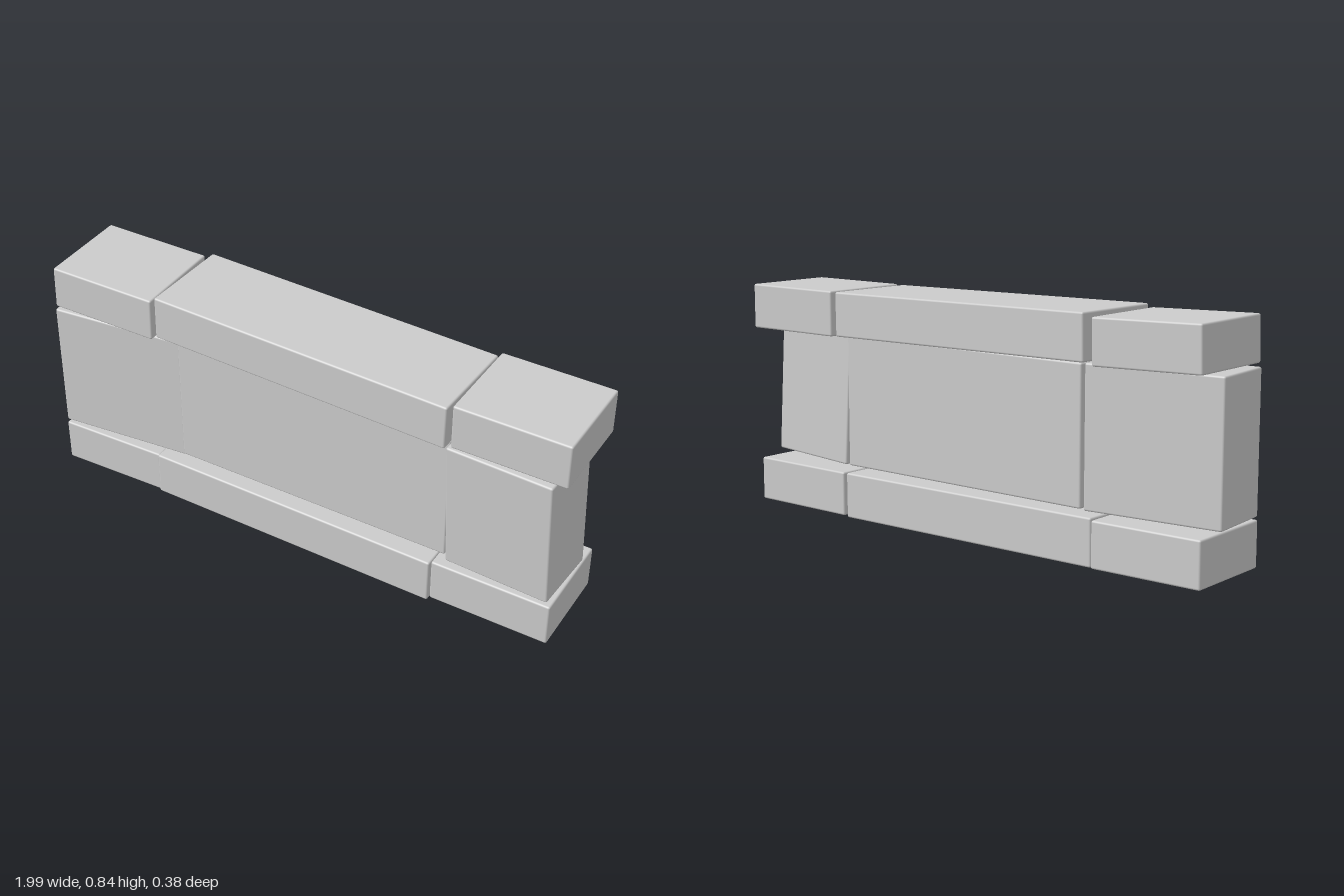
import * as THREE from 'three';
import { RoundedBoxGeometry } from 'three/addons/geometries/RoundedBoxGeometry.js';

// name, size, centre, rotation (x, y, z): three courses of slightly skewed stones
const stones = [
  // base course
  ['baseStoneRight', [0.41, 0.16, 0.345], [-0.77, 0.09, 0.005], [0, 0.03, 0]],
  ['baseStoneMiddle', [1.11, 0.165, 0.343], [-0.008, 0.087, 0.009], [0, -0.003, -0.008]],
  ['baseStoneLeft', [0.435, 0.16, 0.345], [0.767, 0.088, 0], [0, 0, 0]],
  // tall wall slabs
  ['wallSlabRight', [0.5, 0.485, 0.25], [-0.734, 0.422, 0.031], [0, 0.1, 0]],
  ['wallSlabMiddle', [1.06, 0.48, 0.247], [0.048, 0.422, 0.008], [0, 0, 0]],
  ['wallSlabLeft', [0.385, 0.48, 0.25], [0.78, 0.42, 0.04], [0.035, -0.07, 0.03]],
  // capping course
  ['capStoneRight', [0.405, 0.157, 0.348], [-0.769, 0.75, -0.003], [0, 0.03, -0.025]],
  ['capStoneMiddle', [1.13, 0.16, 0.347], [0.017, 0.748, -0.006], [0, -0.02, -0.015]],
  ['capStoneLeft', [0.407, 0.163, 0.347], [0.794, 0.742, -0.011], [0, 0, 0]],
];

export function createModel() {
  const group = new THREE.Group();
  group.name = 'stoneWall';
  const material = new THREE.MeshStandardMaterial({ color: 0xcccccc });
  for (const [name, size, centre, rotation] of stones) {
    // block with a fine worn edge
    const stone = new THREE.Mesh(new RoundedBoxGeometry(...size, 2, 0.007), material);
    stone.name = name;
    stone.position.set(...centre);
    stone.rotation.set(...rotation);
    group.add(stone);
  }
  return group;
}
